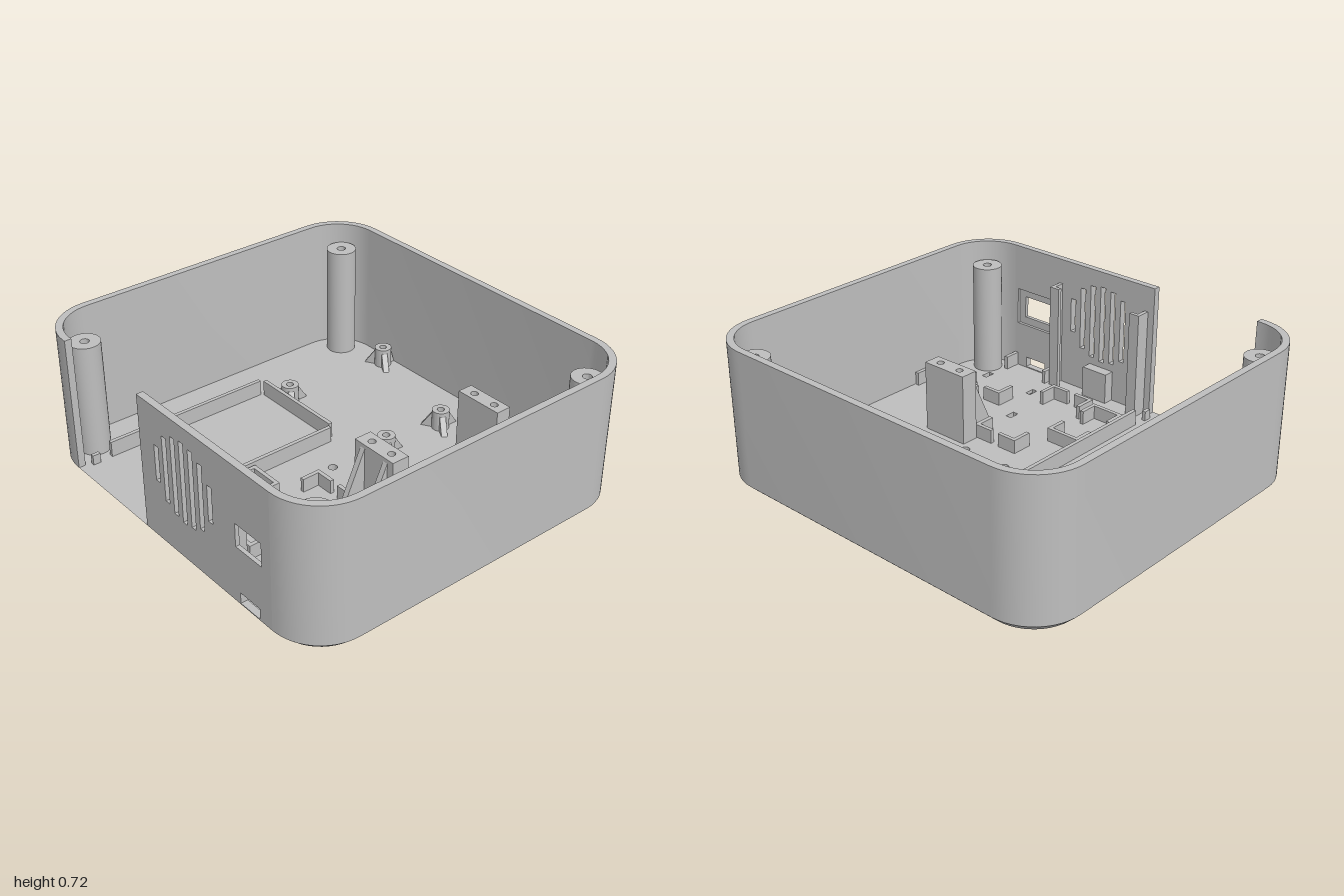
import * as THREE from 'three';
import { toCreasedNormals } from 'three/addons/utils/BufferGeometryUtils.js';

const W = 1, D = 0.92, H = 0.72, R = 0.25, WALL = 0.035, FLOOR = 0.04;
const GAP_L = -0.735, GAP_R = -0.155;

export function createModel() {
  const model = new THREE.Group();
  const grey = new THREE.MeshStandardMaterial({ color: 0xbebebe });
  grey.name = 'grey plastic';

  const add = (name, geo) => {
    const mesh = new THREE.Mesh(geo, grey);
    mesh.name = name;
    model.add(mesh);
    return mesh;
  };
  // box given by its limits
  const box = (name, x0, x1, y0, y1, z0, z1) =>
    add(name, new THREE.BoxGeometry(x1 - x0, y1 - y0, z1 - z0))
      .position.set((x0 + x1) / 2, (y0 + y1) / 2, (z0 + z1) / 2);
  // plan shapes are drawn in (x, -z) and pulled up from y0 to y1
  const upright = (name, shape, y0, y1) => {
    const g = new THREE.ExtrudeGeometry(shape, { depth: y1 - y0, bevelEnabled: false, curveSegments: 20 });
    g.rotateX(-Math.PI / 2).translate(0, y0, 0);
    return add(name, toCreasedNormals(g, 0.6));
  };
  const rect = (x0, x1, y0, y1, T = THREE.Path) => new T([
    new THREE.Vector2(x0, y0), new THREE.Vector2(x1, y0), new THREE.Vector2(x1, y1), new THREE.Vector2(x0, y1)]);
  const planRect = (x0, x1, z0, z1, T) => rect(x0, x1, -z1, -z0, T);
  const circle = (x, z, r, T = THREE.Path) => new T().absarc(x, -z, r, 0, Math.PI * 2, false);
  // rounded outline, starting at the right end of the front side
  const outline = (inset) => {
    const pts = [], n = 12, r = R - inset;
    [[1, -1], [1, 1], [-1, 1], [-1, -1]].forEach(([sx, sy], k) => {
      for (let i = 0; i <= n; i++) {
        const a = (k - 1 + i / n) * Math.PI / 2;
        pts.push(new THREE.Vector2(sx * (W - R) + r * Math.cos(a), sy * (D - R) + r * Math.sin(a)));
      }
    });
    return pts;
  };

  const corners = [[-0.84, -0.77], [0.84, -0.77], [-0.84, 0.765], [0.84, 0.765]];
  const drains = [[0.02, 0], [0.275, 0]];
  // strap channels: x0, x1, z0, z1, and whether they run along z
  const channels = [
    [0.755, 0.81, -0.315, 0.485, true],
    [0.035, 0.365, 0.39, 0.445, false],
    [0.435, 0.775, 0.65, 0.705, false],
  ];

  // Floor: lower layer with channels, upper layer with the strap holes
  const lower = new THREE.Shape(outline(0.04));
  const upper = new THREE.Shape(outline(WALL));
  corners.forEach(([x, z]) => { lower.holes.push(circle(x, z, 0.035)); upper.holes.push(circle(x, z, 0.022)); });
  drains.forEach(([x, z]) => { lower.holes.push(circle(x, z, 0.022)); upper.holes.push(circle(x, z, 0.022)); });
  channels.forEach(([x0, x1, z0, z1, alongZ]) => {
    lower.holes.push(planRect(x0, x1, z0, z1));
    const t = 0.03;
    if (alongZ) upper.holes.push(planRect(x0, x1, z0, z0 + t), planRect(x0, x1, z1 - t, z1));
    else upper.holes.push(planRect(x0, x0 + t, z0, z1), planRect(x1 - t, x1, z0, z1));
  });
  upright('floorUnderside', lower, 0, 0.02);
  upright('floor', upper, 0.02, FLOOR);

  // Chamfered bottom edge
  const low = outline(0.04), high = outline(0), pos = [];
  low.forEach((a, i) => {
    const j = (i + 1) % low.length;
    const p = [[low[i], 0], [low[j], 0], [high[j], FLOOR], [high[i], FLOOR]].map(([v, y]) => [v.x, y, -v.y]);
    [0, 1, 2, 0, 2, 3].forEach(k => pos.push(...p[k]));
  });
  const chamfer = new THREE.BufferGeometry();
  chamfer.setAttribute('position', new THREE.Float32BufferAttribute(pos, 3));
  add('bottomChamfer', toCreasedNormals(chamfer, 0.6));
  const sill = new THREE.PlaneGeometry(GAP_R - GAP_L, WALL).rotateX(-Math.PI / 2);
  add('doorSill', sill).position.set((GAP_L + GAP_R) / 2, FLOOR, D - WALL / 2);

  // Side and back wall, ending at the door opening
  const wall = new THREE.Shape([
    ...outline(0), new THREE.Vector2(GAP_L, -D),
    new THREE.Vector2(GAP_L, -D + WALL), ...outline(WALL).reverse()]);
  upright('wall', wall, FLOOR, H);

  // Front panel in two layers, with grille, window and port
  [['frontPanelInner', D - WALL, 0.015, 0.04], ['frontPanel', D - 0.02, 0.02, 0]].forEach(([name, z, depth, grow]) => {
    const s = rect(GAP_R, W - R, FLOOR, H, THREE.Shape);
    [0.09, 0.165, 0.195, 0.205, 0.195, 0.165, 0.09].forEach((h, i) => {
      const x = -0.03 + i * 0.0635;
      s.holes.push(rect(x - 0.015, x + 0.015, 0.435 - h, 0.435 + h));
    });
    s.holes.push(rect(0.52 - grow, 0.69 + grow, 0.325 - grow, 0.44 + grow));
    s.holes.push(rect(0.54, 0.67, 0.045, 0.1));
    add(name, new THREE.ExtrudeGeometry(s, { depth, bevelEnabled: false })).position.z = z;
  });

  // Corner screw posts
  corners.forEach(([x, z]) => {
    const s = circle(x, z, 0.075, THREE.Shape);
    s.holes.push(circle(x, z, 0.022));
    upright('screwPost', s, FLOOR, 0.62);
  });

  // Triangular rib running from the origin along +x, standing on the floor
  const ribGeometry = (start, end, top, width) => {
    const s = new THREE.Shape([
      new THREE.Vector2(start, FLOOR), new THREE.Vector2(end, FLOOR), new THREE.Vector2(start, top)]);
    return new THREE.ExtrudeGeometry(s, { depth: width, bevelEnabled: false }).translate(0, 0, -width / 2);
  };

  // Board standoffs with three ribs each
  [[-0.555, -0.82], [0.085, -0.63], [0.085, -0.275], [-0.57, -0.21]].forEach(([x, z]) => {
    const s = circle(x, z, 0.043, THREE.Shape);
    s.holes.push(circle(x, z, 0.018));
    upright('standoff', s, FLOOR, 0.14);
    for (let i = 0; i < 3; i++) {
      const rib = add('standoffRib', ribGeometry(0.038, z < -0.8 && i === 0 ? 0.065 : 0.095, 0.125, 0.03));
      rib.position.set(x, 0, z);
      rib.rotation.y = Math.PI / 2 + i * Math.PI * 2 / 3;
    }
  });

  // Mounting blocks with screw holes and two ribs each
  [[-0.59, -0.51, -1], [0.03, 0.12, 1]].forEach(([z0, z1, dir]) => {
    const s = planRect(0.315, 0.565, z0, z1, THREE.Shape);
    [0.378, 0.505].forEach(x => s.holes.push(circle(x, (z0 + z1) / 2, 0.018)));
    upright('mountingBlock', s, FLOOR, 0.4);
    [0.367, 0.515].forEach(x => {
      const rib = add('blockRib', ribGeometry(0, 0.155, 0.38, 0.028));
      rib.position.set(x, 0, dir < 0 ? z0 : z1);
      rib.rotation.y = -dir * Math.PI / 2;
    });
  });

  // L-shaped corner clips; sx, sz point into the held board
  const T = 0.02;
  const clip = (name, x, z, sx, sz, lenX, lenZ, top) => {
    const p = [[0, 0], [lenX, 0], [lenX, T], [T, T], [T, lenZ], [0, lenZ]]
      .map(([a, b]) => new THREE.Vector2(x + sx * a, -(z + sz * b)));
    upright(name, new THREE.Shape(p), FLOOR, top);
  };
  const boardClips = (x0, x1, z0, z1, lenX) => {
    [[x0, 1], [x1, -1]].forEach(([x, sx]) => {
      clip('boardClip', x, z0, sx, 1, lenX, 0.107, 0.11);
      if (z1 !== null) clip('boardClip', x, z1, sx, -1, lenX, 0.107, 0.11);
    });
  };
  boardClips(0.07, 0.33, 0.125, 0.715, 0.107);
  boardClips(0.605, 0.96, -0.28, 0.445, 0.107);
  boardClips(-0.145, 0.04, 0.33, 0.685, 0.0925);
  boardClips(0.47, 0.745, 0.45, null, 0.107);

  // Port board rails at the front
  box('portRail', 0.465, 0.485, FLOOR, 0.11, 0.8, D - WALL);
  box('portRail', 0.73, 0.75, FLOOR, 0.11, 0.8, D - WALL);

  // Speaker holder: two tall clips and a ledge
  clip('speakerClip', -0.12, 0.81, 1, 1, 0.057, 0.075, 0.59);
  clip('speakerClip', 0.445, 0.81, -1, 1, 0.057, 0.075, 0.59);
  box('speakerLedge', 0.085, 0.235, FLOOR, 0.2, 0.83, D - WALL);

  // Battery bay behind the door opening
  box('bayBack', -0.705, -0.185, FLOOR, 0.12, -0.165, -0.145);
  box('baySide', -0.735, -0.715, FLOOR, 0.12, -0.135, 0.75);
  box('baySide', -0.175, -0.155, FLOOR, 0.12, -0.135, 0.75);
  box('bayStop', -0.73, -0.71, FLOOR, 0.09, 0.815, 0.855);
  box('bayStop', -0.185, -0.165, FLOOR, 0.09, 0.815, 0.855);

  return model;
}
